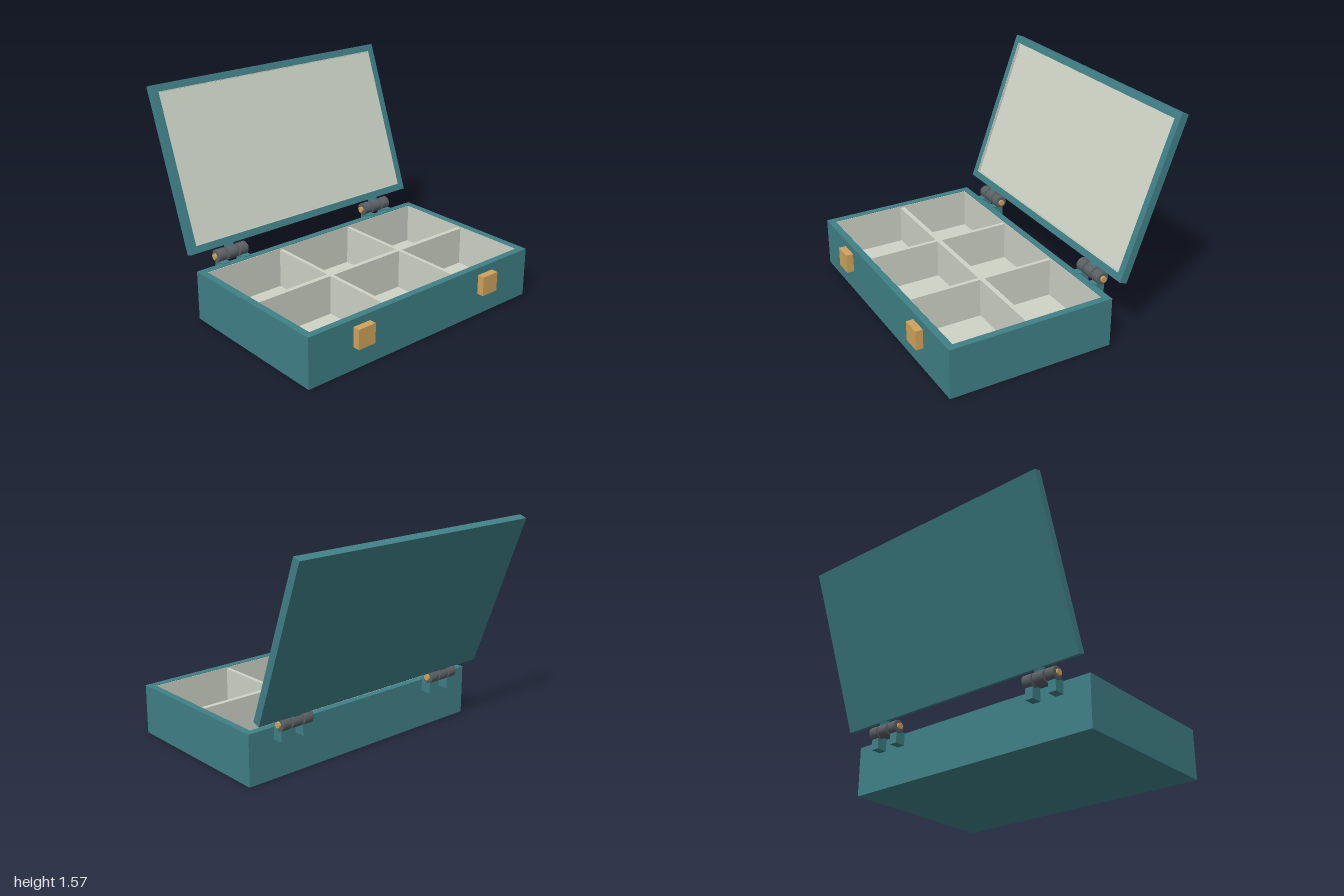
import * as THREE from 'three';

const mat = (color) => new THREE.MeshStandardMaterial({ color });
const teal = mat(0x3f8187);
const lining = mat(0xcfd4c6);
const brass = mat(0xd2a45a);
const steel = mat(0x5a6064);

function add(parent, name, geometry, material, x = 0, y = 0, z = 0) {
  const mesh = new THREE.Mesh(geometry, material);
  mesh.name = name;
  mesh.position.set(x, y, z);
  parent.add(mesh);
  return mesh;
}

const box = (w, h, d) => new THREE.BoxGeometry(w, h, d);

// Rectangular frame in XY with walls t thick, extruded along +Z
function frame(w, h, t, depth) {
  const rect = (target, a, b) => {
    target.moveTo(-a, -b);
    target.lineTo(a, -b);
    target.lineTo(a, b);
    target.lineTo(-a, b);
    target.closePath();
    return target;
  };
  const shape = rect(new THREE.Shape(), w / 2, h / 2);
  shape.holes.push(rect(new THREE.Path(), w / 2 - t, h / 2 - t));
  return new THREE.ExtrudeGeometry(shape, { depth, bevelEnabled: false });
}

const W = 2, WALL = 0.05;
const H = 0.36, D = 1.21, CZ = 0.233;
const LID_H = 1.18, LID_T = 0.057, LID_TILT = THREE.MathUtils.degToRad(20);

function createTray() {
  const tray = new THREE.Group();
  tray.name = 'tray';
  tray.position.z = CZ;
  const iw = W - 2 * WALL, id = D - 2 * WALL, floor = 0.05;

  add(tray, 'trayWalls', frame(W, D, WALL, H - floor).rotateX(-Math.PI / 2), teal, 0, floor, 0);
  add(tray, 'trayBase', box(W, floor, D), teal, 0, floor / 2, 0);
  add(tray, 'trayFloorLining', box(iw, 0.01, id), lining, 0, floor + 0.005, 0);
  add(tray, 'trayWallLining', frame(iw, id, 0.004, H - floor - 0.004).rotateX(-Math.PI / 2), lining, 0, floor, 0);

  // Dividers: one long, two short pairs
  const dh = 0.295, dy = floor + dh / 2, lt = 0.035;
  add(tray, 'longDivider', box(iw, dh, lt), lining, 0, dy, 0);
  const len = (id - lt) / 2;
  for (const sx of [-1, 1]) {
    for (const sz of [-1, 1]) {
      add(tray, 'crossDivider', box(0.028, dh, len), lining, sx * 0.32, dy, sz * (lt + len) / 2);
    }
    add(tray, 'latch', box(0.14, 0.142, 0.052), brass, sx * 0.57, 0.235, D / 2 + 0.026);
  }
  return tray;
}

function createLid() {
  const lid = new THREE.Group();
  lid.name = 'lid';
  lid.position.set(0, 0.463, -0.427);
  lid.rotation.x = -LID_TILT;
  const recess = 0.025, iw = W - 2 * WALL, ih = LID_H - 2 * WALL, cy = LID_H / 2;

  add(lid, 'lidPanel', box(W, LID_H, LID_T - recess), teal, 0, cy, -(LID_T + recess) / 2);
  add(lid, 'lidFrame', frame(W, LID_H, WALL, recess), teal, 0, cy, -recess);
  add(lid, 'lidLining', box(iw, ih, 0.004), lining, 0, cy, -recess + 0.002);
  add(lid, 'lidEdgeLining', frame(iw, ih, 0.004, recess - 0.002), lining, 0, cy, -recess);

  // Arms that join the lid to the middle knuckles
  for (const s of [-1, 1]) {
    add(lid, 'hingeArm', box(0.06, 0.07, 0.035), teal, s * 0.68, -0.03, -0.029);
  }
  return lid;
}

// Chamfered barrel along X
function knuckle(length) {
  const r = 0.047, c = 0.005, h = length / 2;
  const pts = [[0, -h], [r - c, -h], [r, -h + c], [r, h - c], [r - c, h], [0, h]];
  const flat = new THREE.LatheGeometry(pts.map(([x, y]) => new THREE.Vector2(x, y)), 32);
  return flat.rotateZ(Math.PI / 2);
}

function createHinge(x) {
  const hinge = new THREE.Group();
  hinge.name = 'hinge';
  hinge.position.set(x, 0.395, -0.433);
  add(hinge, 'hingePin', new THREE.CylinderGeometry(0.022, 0.022, 0.28, 24).rotateZ(Math.PI / 2), brass);
  add(hinge, 'middleKnuckle', knuckle(0.086), steel);
  for (const s of [-1, 1]) {
    add(hinge, 'outerKnuckle', knuckle(0.074), steel, s * 0.089, 0, 0);
    add(hinge, 'hingeBracket', box(0.06, 0.092, 0.1), teal, s * 0.089, -0.076, 0.033);
  }
  return hinge;
}

export function createModel() {
  const model = new THREE.Group();
  model.name = 'compartmentBox';
  model.add(createTray(), createLid(), createHinge(-0.68), createHinge(0.68));
  return model;
}
